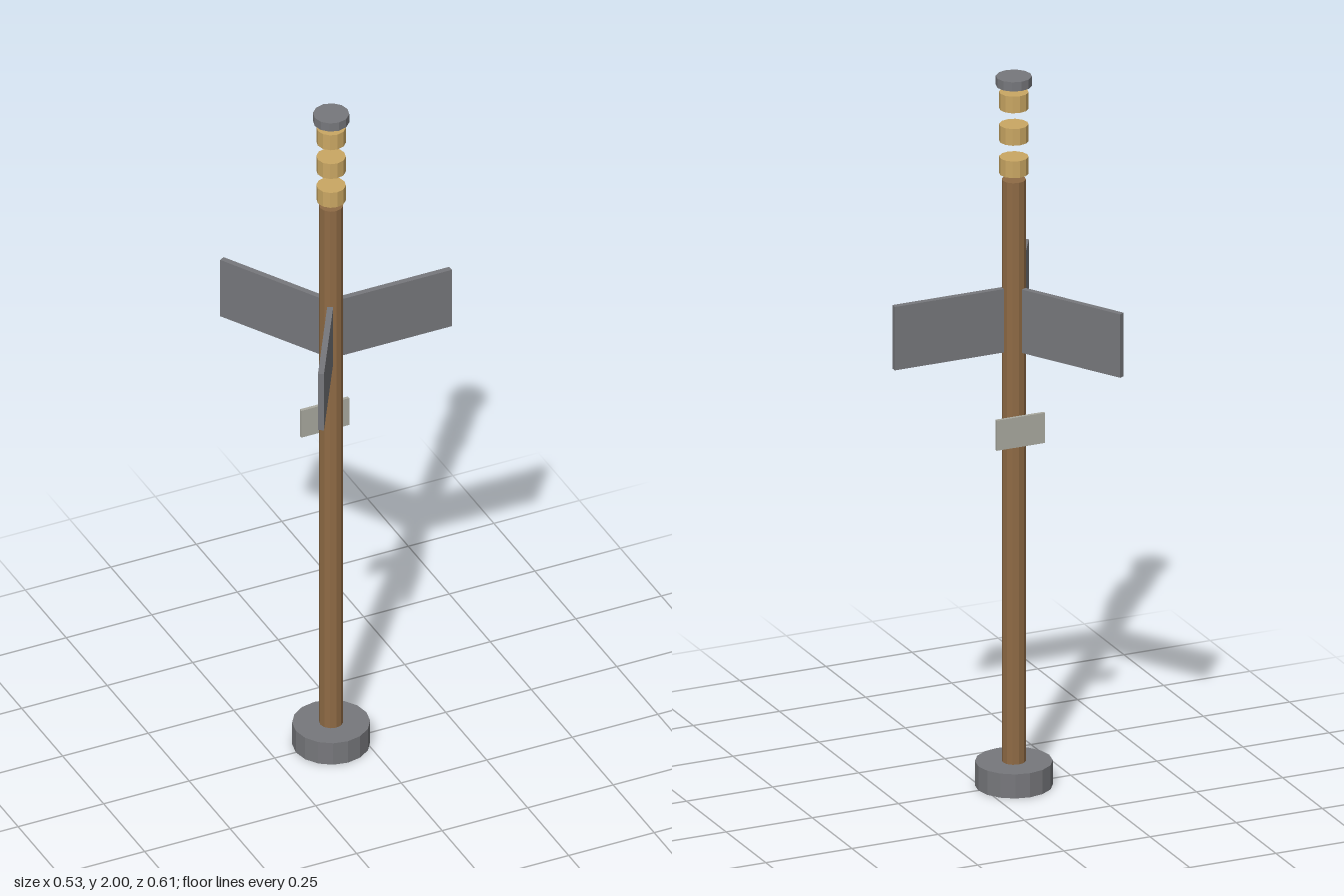
import * as THREE from 'three';

const material = (color) => new THREE.MeshStandardMaterial({ color, flatShading: true });

export function createModel() {
  const model = new THREE.Group();
  model.name = 'finnedPole';

  const wood = material(0x8f6b45);
  const steel = material(0x77787c);
  const tan = material(0xcaa763);
  const pale = material(0xaaaaa0);

  // Everything is arranged around the pole axis, which sits off centre
  const assembly = new THREE.Group();
  assembly.name = 'poleAssembly';
  assembly.position.x = -0.085;
  model.add(assembly);

  function disc(name, radius, bottom, top, sides, mat) {
    const mesh = new THREE.Mesh(new THREE.CylinderGeometry(radius, radius, top - bottom, sides), mat);
    mesh.name = name;
    mesh.position.y = (bottom + top) / 2;
    assembly.add(mesh);
  }

  disc('base', 0.103, 0, 0.068, 16, steel);
  disc('pole', 0.032, 0.068, 1.709, 12, wood);

  // Floating rings below the cap
  for (let i = 0; i < 3; i++) {
    const y = 1.726 + i * 0.0915;
    disc('ring' + (i + 1), 0.039, y, y + 0.047, 12, tan);
  }
  disc('cap', 0.048, 1.974, 2, 12, steel);

  // Three fins radiating from the pole
  const inner = 0.032, outer = 0.349;
  for (let i = 0; i < 3; i++) {
    const pivot = new THREE.Group();
    pivot.name = 'fin' + (i + 1);
    pivot.rotation.y = (i * Math.PI * 2) / 3;
    const panel = new THREE.Mesh(new THREE.BoxGeometry(outer - inner, 0.179, 0.016), steel);
    panel.name = 'finPanel';
    panel.position.set((inner + outer) / 2, 1.317, 0);
    pivot.add(panel);
    assembly.add(pivot);
  }

  // Small plate on the back of the pole
  const plate = new THREE.Mesh(new THREE.BoxGeometry(0.14, 0.085, 0.009), pale);
  plate.name = 'backPlate';
  plate.position.set(0, 1.011, -0.04);
  assembly.add(plate);

  return model;
}
